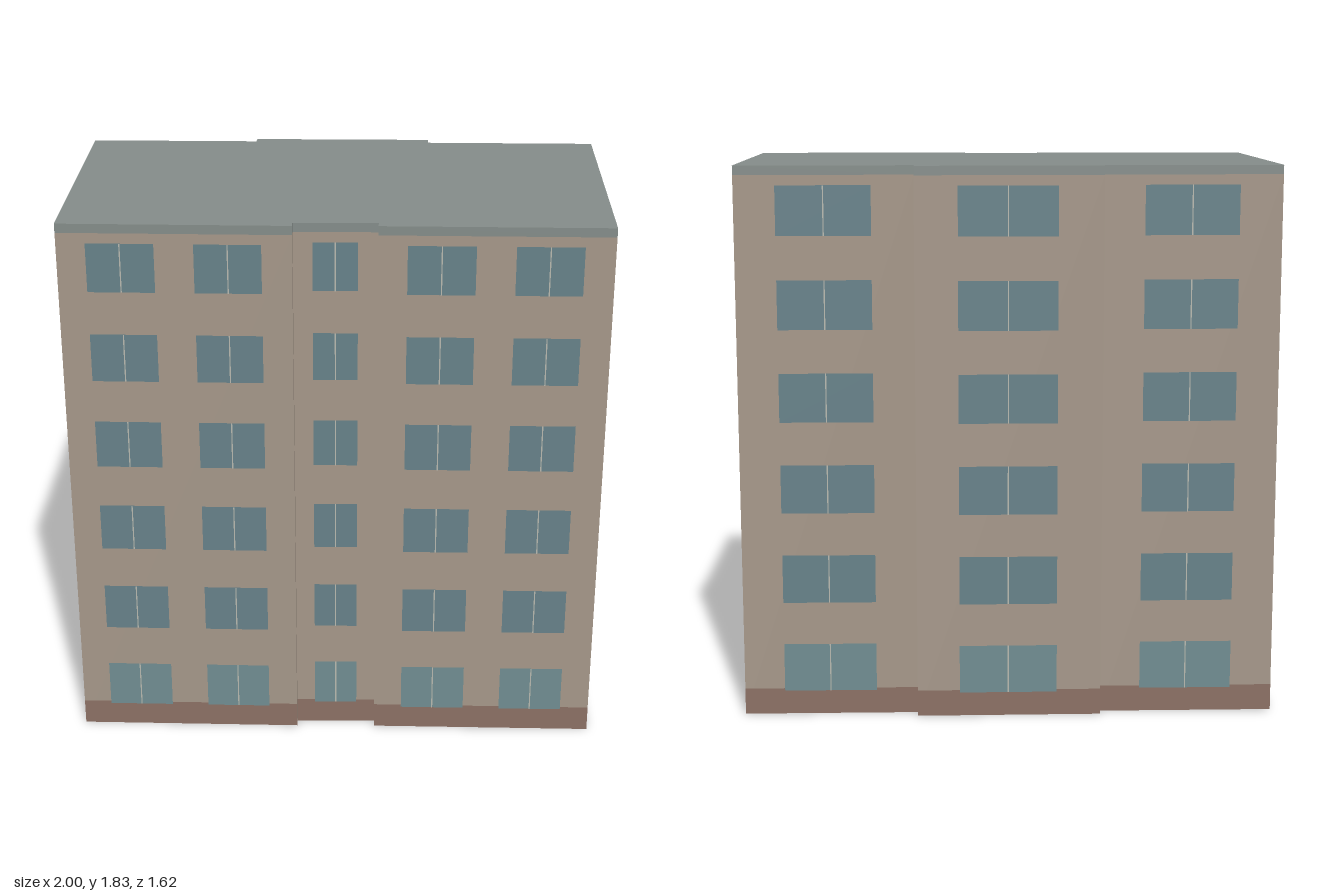
import * as THREE from 'three';

const mat = (color, side = THREE.FrontSide) => new THREE.MeshStandardMaterial({ color, side });
const wallMat = mat(0xa6988a, THREE.DoubleSide);
const plinthMat = mat(0x8c7165);
const glassMat = mat(0x67828a);
const groundGlassMat = mat(0x718e92);
const frameMat = mat(0xb9bab0);
const railMat = mat(0x7d8a86);
const roofMat = mat(0x858d8a);

const EAVES = 1.8, TOP = 1.83, FLOORS = 6, STOREY = 0.305;
const SILL = 0.08, WIN_H = 0.162;

// Footprint as [x, z], each with the windows of the wall that starts there
// (start and end as fractions of the wall length)
const pair = [[0.125, 0.415], [0.583, 0.87]];
const single = [[0.23, 0.76]];
const outline = [
  { name: 'frontLeftBay', p: [-1, 0.06], windows: pair },
  { name: 'frontLeftReturn', p: [-0.33, 0.38] },
  { name: 'frontRecess', p: [-0.317, 0.352], windows: single },
  { name: 'frontRightReturn', p: [-0.07, 0.463] },
  { name: 'frontRightBay', p: [-0.085, 0.49], windows: pair },
  { name: 'leftEnd', p: [0.585, 0.808], windows: pair, plain: true, rail: 0 },
  { name: 'backLeftBay', p: [1, -0.055], windows: single },
  { name: 'backLeftReturn', p: [0.475, -0.302] },
  { name: 'backMiddleBay', p: [0.492, -0.335], windows: single },
  { name: 'backRightReturn', p: [-0.063, -0.592] },
  { name: 'backRightBay', p: [-0.077, -0.565], windows: single },
  { name: 'rightEnd', p: [-0.6, -0.81], windows: pair, plain: true, rail: 1 },
];

function add(parent, name, geometry, material, x, y, z) {
  const mesh = new THREE.Mesh(geometry, material);
  mesh.name = name;
  mesh.position.set(x, y, z);
  parent.add(mesh);
}

// Upright panel given by its lower left corner
function panel(parent, name, material, x, y, w, h, z) {
  add(parent, name, new THREE.PlaneGeometry(w, h), material, x + w / 2, y + h / 2, z);
}

// Low guard in front of a tall window
function addRailing(parent, x, y, w) {
  const rail = new THREE.Group();
  rail.name = 'windowRailing';
  add(rail, 'railPanel', new THREE.BoxGeometry(w, 0.045, 0.006), railMat, x + w / 2, y + 0.028, 0.009);
  for (const h of [0.004, 0.052]) {
    add(rail, 'railBar', new THREE.BoxGeometry(w, 0.006, 0.012), frameMat, x + w / 2, y + h, 0.007);
  }
  parent.add(rail);
}

// Wall in its own frame: x runs along it, z points outward
function buildWall(spec, next) {
  const [x0, z0] = spec.p, [x1, z1] = next.p;
  const length = Math.hypot(x1 - x0, z1 - z0);
  const wall = new THREE.Group();
  wall.name = spec.name;
  wall.position.set(x0, 0, z0);
  wall.rotation.y = Math.atan2(z0 - z1, x1 - x0);
  panel(wall, 'wall', wallMat, 0, 0, length, EAVES, 0);
  if (!spec.windows) return wall;

  panel(wall, 'plinth', plinthMat, 0, 0, length, 0.088, 0.001);
  for (let floor = 0; floor < FLOORS; floor++) {
    const y = SILL + floor * STOREY;
    spec.windows.forEach(([a, b], i) => {
      const x = a * length, w = (b - a) * length;
      panel(wall, 'window', floor ? glassMat : groundGlassMat, x, y, w, WIN_H, 0.002);
      const railed = floor === 1 && spec.rail === i;
      if (railed) addRailing(wall, x, y, w);
      else if (!spec.plain || floor < 2) {
        panel(wall, 'mullion', frameMat, x + w / 2 - 0.002, y, 0.004, WIN_H, 0.003);
      }
    });
  }
  return wall;
}

export function createModel() {
  const building = new THREE.Group();
  building.name = 'apartmentBlock';

  outline.forEach((spec, i) => building.add(buildWall(spec, outline[(i + 1) % outline.length])));

  // Flat roof slab following the footprint
  const shape = new THREE.Shape(outline.map(({ p }) => new THREE.Vector2(p[0], -p[1])));
  const slab = new THREE.ExtrudeGeometry(shape, { depth: TOP - EAVES, bevelEnabled: false });
  slab.rotateX(-Math.PI / 2);
  add(building, 'roof', slab, roofMat, 0, EAVES, 0);
  return building;
}
